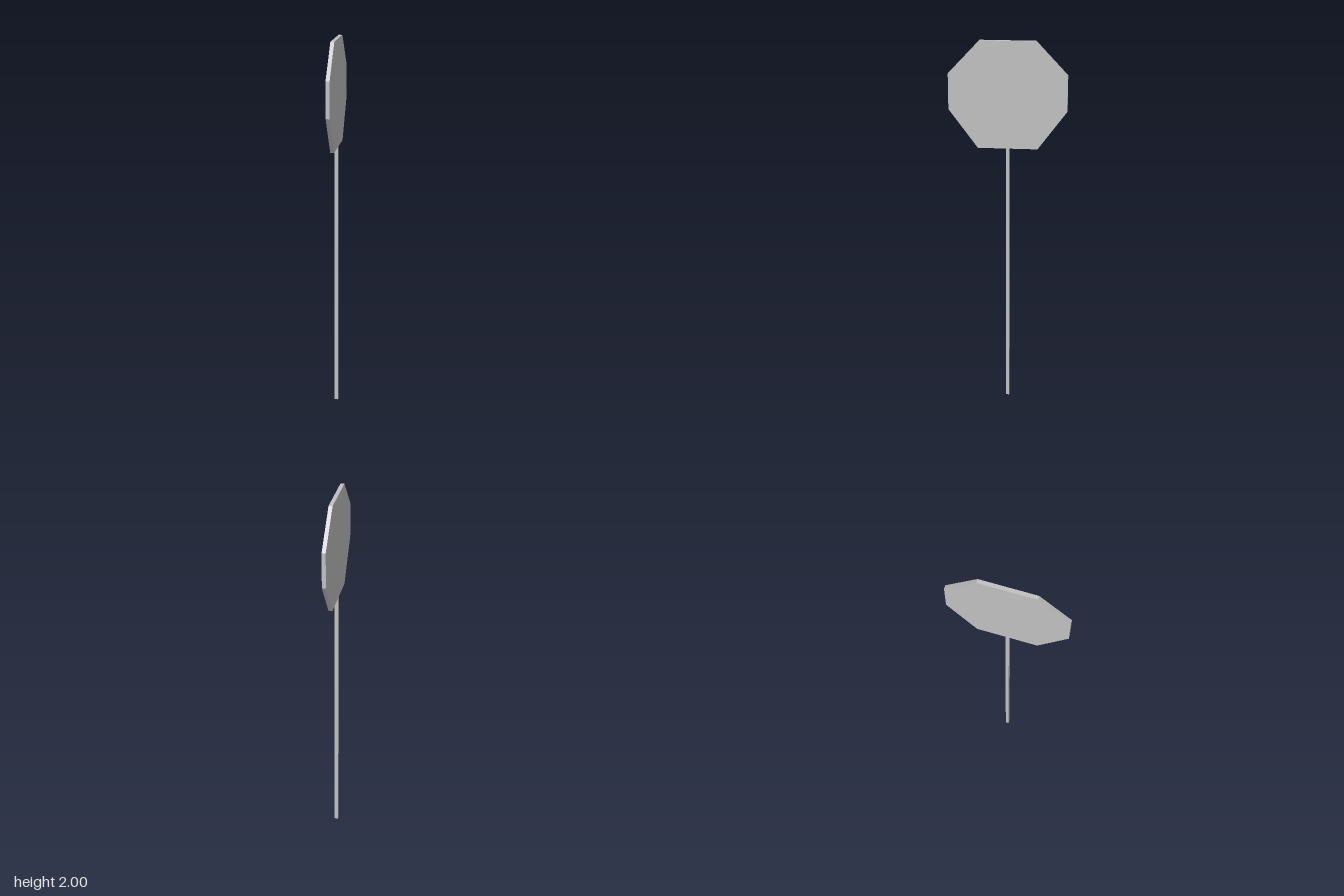
import * as THREE from 'three';

export function createModel() {
  const group = new THREE.Group();
  group.name = 'roadSign';
  const grey = new THREE.MeshStandardMaterial({ color: 0xc0c0c0 });
  grey.name = 'plain grey';

  const thickness = 0.02;
  const plateBottom = 1.44;

  // Eight-sided plate, outlined in z and y, facing sideways
  const half = [[0.155, plateBottom], [0.306, 1.643], [0.306, 1.828], [0.144, 2]];
  const mirrored = half.map(([z, y]) => [-z, y]).reverse();
  const outline = new THREE.Shape([...half, ...mirrored].map(([z, y]) => new THREE.Vector2(z, y)));
  const plateGeometry = new THREE.ExtrudeGeometry(outline, { depth: thickness, bevelEnabled: false });
  plateGeometry.translate(0, 0, -thickness / 2).rotateY(-Math.PI / 2);
  const plate = new THREE.Mesh(plateGeometry, grey);
  plate.name = 'signPlate';

  // Square post under the plate
  const post = new THREE.Mesh(new THREE.BoxGeometry(thickness, plateBottom, 0.018), grey);
  post.position.y = plateBottom / 2;
  post.name = 'post';

  group.add(plate, post);
  return group;
}
